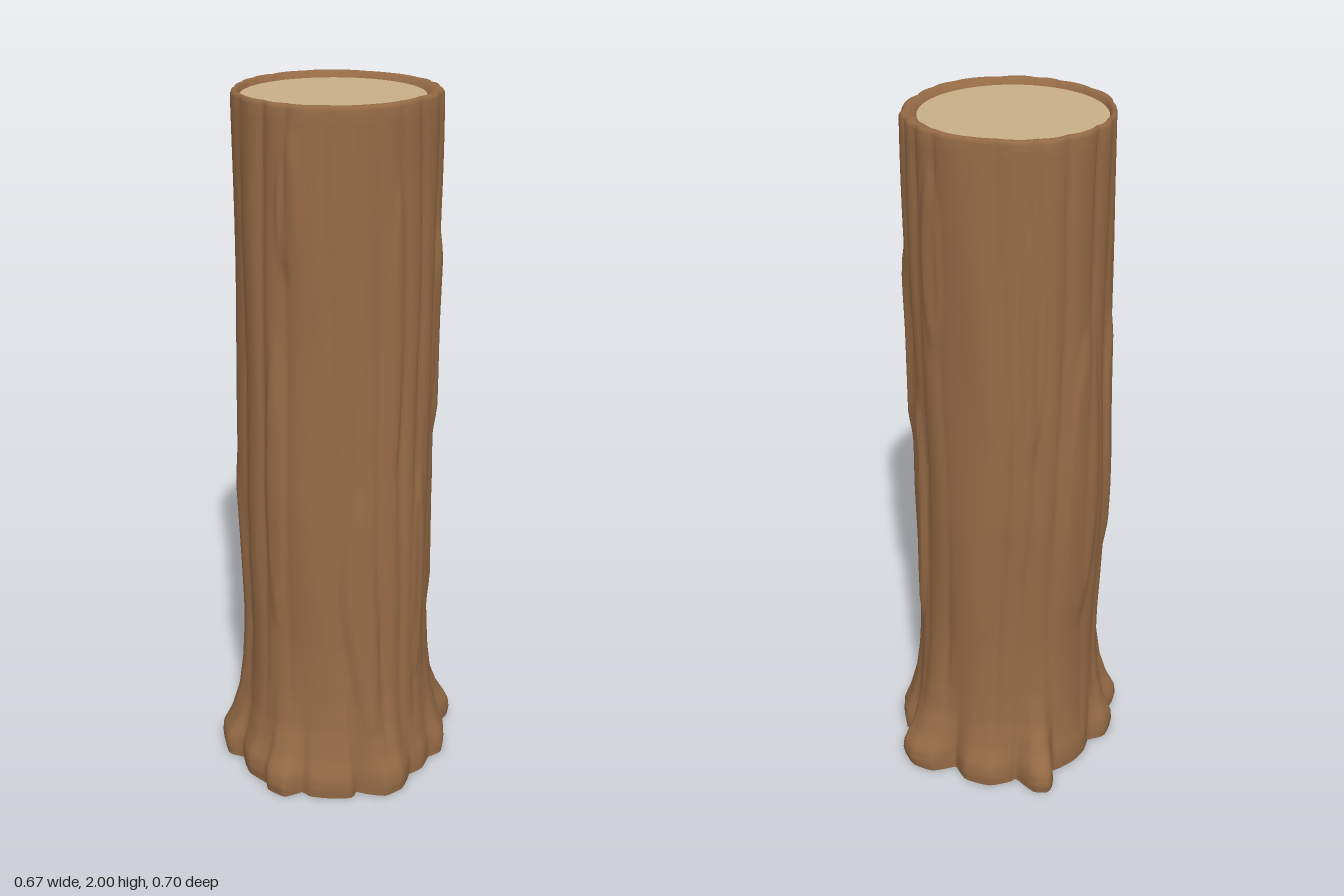
import * as THREE from 'three';

const SEG = 180;
const ROWS = 80;

// Outline of the root flare on the ground, as x, z pairs
const ROOTS = [
  [0.33, 0.02], [0.33, 0.08], [0.26, 0.14], [0.28, 0.165], [0.2, 0.265], [0.17, 0.27], [0.16, 0.33],
  [0.1, 0.35], [0.07, 0.335], [0, 0.35], [-0.08, 0.32], [-0.12, 0.35], [-0.21, 0.31], [-0.22, 0.285],
  [-0.215, 0.215], [-0.28, 0.205], [-0.3, 0.15], [-0.27, 0.1], [-0.295, 0.05], [-0.3, 0], [-0.28, -0.085],
  [-0.335, -0.14], [-0.335, -0.165], [-0.305, -0.19], [-0.22, -0.18], [-0.22, -0.2], [-0.185, -0.26],
  [-0.11, -0.29], [-0.05, -0.265], [-0.01, -0.335], [0.055, -0.355], [0.11, -0.335], [0.135, -0.24],
  [0.19, -0.245], [0.255, -0.19], [0.25, -0.14], [0.285, -0.09], [0.285, -0.04],
];
const TAU = Math.PI * 2;
const wrap = (a) => ((a % TAU) + TAU) % TAU;
const rootPolar = ROOTS.map(([x, z]) => [wrap(Math.atan2(z, x)), Math.hypot(x, z)]);

// Raised bark plates: angle, height, half width, half length, thickness
const PLATES = [
  [1.0, 1.75, 0.16, 0.2, 0.01], [1.2, 0.95, 0.15, 0.45, 0.009], [1.95, 0.5, 0.17, 0.5, 0.008],
  [0.55, 0.55, 0.14, 0.42, 0.009], [2.6, 1.1, 0.2, 0.4, 0.01], [3.2, 1.0, 0.22, 0.5, 0.01],
  [3.9, 1.45, 0.15, 0.35, 0.008], [5.5, 1.35, 0.16, 0.3, 0.011], [5.1, 0.85, 0.14, 0.4, 0.01],
  [5.9, 0.65, 0.13, 0.35, 0.01], [0.1, 1.4, 0.14, 0.4, 0.008], [4.6, 1.65, 0.15, 0.25, 0.008],
];

// Straight-line interpolation through sorted [position, value] pairs
function interp(table, t) {
  for (let i = 1; i < table.length; i++) {
    const [a, va] = table[i - 1], [b, vb] = table[i];
    if (t <= b) return va + (vb - va) * Math.max(0, (t - a) / (b - a));
  }
  return table[table.length - 1][1];
}

const [first] = rootPolar, last = rootPolar[rootPolar.length - 1];
const rootTable = [[last[0] - TAU, last[1]], ...rootPolar, [first[0] + TAU, first[1]]];
const FLARE = [[0, 0.93], [0.03, 1], [0.065, 0.95], [0.12, 0.58], [0.2, 0.26], [0.3, 0.1], [0.48, 0]];
const CENTRE_X = [[0, 0], [0.4, -0.006], [1, -0.021], [1.5, -0.015], [2, -0.012]];
const RADIUS = [[0, 0.266], [0.4, 0.26], [0.9, 0.268], [1.4, 0.262], [2, 0.263]];

// Rounded vertical ridges with narrow, wandering cracks
function barkRelief(a, y) {
  const u = a + 0.11 * Math.sin(2 * a + 1) + 0.07 * Math.sin(5 * a)
    + 0.05 * Math.sin(1.7 * y + 3 * a) + 0.025 * Math.sin(5 * y + 2 * a);
  const strength = 0.011 + 0.004 * Math.sin(3 * a + 2.3 * y);
  let d = strength * Math.sqrt(Math.abs(Math.sin(9 * u)));
  d += 0.003 * Math.sin(4 * a + 3.1 * y) + 0.002 * Math.sin(7 * a - 6 * y);
  for (const [pa, py, w, h, t] of PLATES) {
    const da = wrap(u - pa + Math.PI) - Math.PI;
    const q = (da / w) ** 2 + ((y - py) / h) ** 2;
    if (q < 1) d += t * Math.min(1, (1 - q) * 2.5);
  }
  return d;
}

function barkPoint(a, y) {
  const r = interp(RADIUS, y) + barkRelief(a, y);
  const x = interp(CENTRE_X, y) + r * Math.cos(a);
  const z = 0.014 + r * Math.sin(a);
  const R = interp(rootTable, a), f = interp(FLARE, y);
  return [x + (R * Math.cos(a) - x) * f, y, z + (R * Math.sin(a) - z) * f];
}

function makeGeometry(positions, index) {
  const g = new THREE.BufferGeometry();
  g.setAttribute('position', new THREE.Float32BufferAttribute(positions, 3));
  g.setIndex(index);
  g.computeVertexNormals();
  return g;
}

export function createModel() {
  const group = new THREE.Group();
  const bark = new THREE.MeshStandardMaterial({ color: 0x966b46 });
  bark.name = 'bark brown';
  const wood = new THREE.MeshStandardMaterial({ color: 0xc8af87 });
  wood.name = 'cut wood tan';

  const add = (name, geometry, material) => {
    const mesh = new THREE.Mesh(geometry, material);
    mesh.name = name;
    group.add(mesh);
  };

  const WOOD_X = -0.018, WOOD_Z = 0.019, WOOD_R = 0.242, WOOD_Y = 1.982;
  const angle = (i) => (i / SEG) * TAU;

  // Rings from the ground up, closer together near the roots
  const rings = [];
  for (let j = 0; j <= ROWS; j++) {
    const y = 1.988 * Math.pow(j / ROWS, 1.5);
    rings.push(Array.from({ length: SEG }, (_, i) => barkPoint(angle(i), y)));
  }
  // Rounded rim that turns in to the cut face
  for (const [t, y] of [[0.15, 1.998], [0.4, 2], [0.75, 1.994], [1, WOOD_Y - 0.002]]) {
    rings.push(Array.from({ length: SEG }, (_, i) => {
      const a = angle(i), [x, , z] = barkPoint(a, 1.988);
      const wx = WOOD_X + WOOD_R * Math.cos(a), wz = WOOD_Z + WOOD_R * Math.sin(a);
      return [x + (wx - x) * t, y, z + (wz - z) * t];
    }));
  }
  const index = [];
  for (let j = 0; j < rings.length - 1; j++) {
    for (let i = 0; i < SEG; i++) {
      const a = j * SEG + i, b = j * SEG + (i + 1) % SEG;
      index.push(a, a + SEG, b, b, a + SEG, b + SEG);
    }
  }
  add('barkTrunk', makeGeometry(rings.flat(2), index), bark);

  // Underside, closing the root outline
  const fan = [];
  for (let i = 0; i < SEG; i++) fan.push(SEG, i, (i + 1) % SEG);
  add('underside', makeGeometry([...rings[0].flat(), 0, 0.01, 0], fan), bark);

  // Pale cut face, set just below the rim
  const cut = new THREE.CircleGeometry(WOOD_R + 0.001, 72);
  cut.rotateX(-Math.PI / 2);
  cut.translate(WOOD_X, WOOD_Y, WOOD_Z);
  add('cutFace', cut, wood);

  return group;
}
